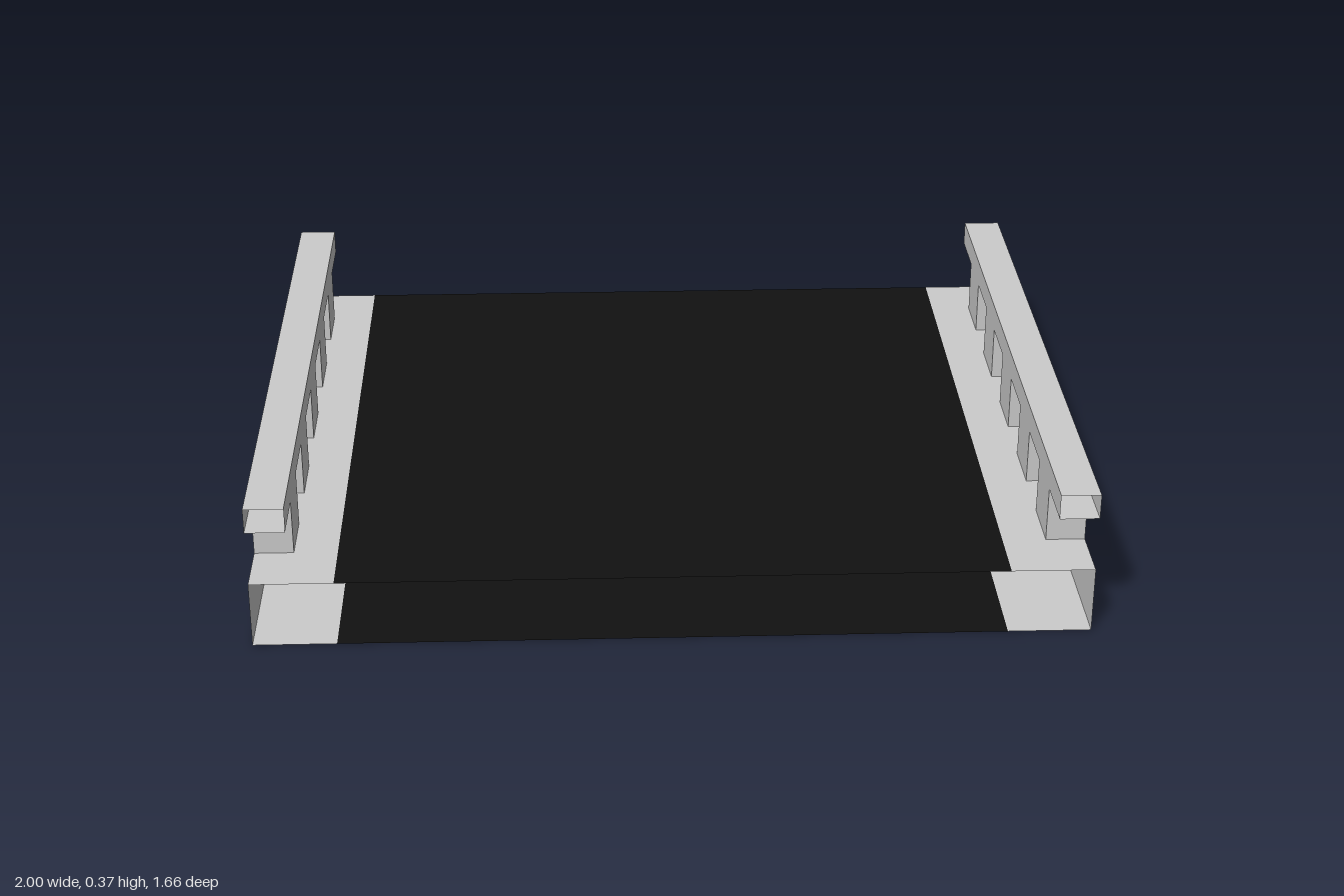
import * as THREE from 'three';

const grey = new THREE.MeshStandardMaterial({ color: 0xcccccc, side: THREE.DoubleSide });
const black = new THREE.MeshStandardMaterial({ color: 0x111111, side: THREE.DoubleSide });

const LENGTH = 1.664;    // along z
const DECK_Y = 0.165;    // top of the hollow deck
const RAIL_Y = 0.303;    // underside of the handrail
const TOP_Y = 0.365;

// Box side order: +x, -x, +y, -y, +z, -z
const SIDE = { px: 0, nx: 1, py: 2, ny: 3, pz: 4, nz: 5 };

// Thin-walled box between two corners that keeps only the listed sides
function shell(name, material, [x0, y0, z0], [x1, y1, z1], sides) {
  const geometry = new THREE.BoxGeometry(x1 - x0, y1 - y0, z1 - z0);
  const index = Array.from(geometry.index.array);
  geometry.setIndex(sides.flatMap((s) => index.slice(SIDE[s] * 6, SIDE[s] * 6 + 6)));
  geometry.clearGroups();
  geometry.translate((x0 + x1) / 2, (y0 + y1) / 2, (z0 + z1) / 2);
  const mesh = new THREE.Mesh(geometry, material);
  mesh.name = name;
  return mesh;
}

// Deck edge, posts and handrail of the +x side
function createParapet() {
  const group = new THREE.Group();
  const h = LENGTH / 2;

  // Hollow deck edge, open at both ends and towards the roadway
  group.add(shell('deckEdge', grey, [0.8, 0, -h], [1, DECK_Y, h], ['px', 'py', 'ny']));

  // Hollow handrail, open at both ends
  group.add(shell('handrail', grey, [0.905, RAIL_Y, -h], [1, TOP_Y, h], ['px', 'nx', 'py', 'ny']));

  // Five evenly spaced posts
  for (let i = -2; i <= 2; i++) {
    const z = i * 0.303;
    group.add(shell('post', grey, [0.905, DECK_Y, z - 0.075], [1, RAIL_Y, z + 0.075], ['px', 'nx', 'pz', 'nz']));
  }
  return group;
}

export function createModel() {
  const model = new THREE.Group();
  model.name = 'bridgeSection';

  // Dark roadway surface and its underside
  model.add(shell('roadway', black, [-0.8, 0, -LENGTH / 2], [0.8, DECK_Y, LENGTH / 2], ['py', 'ny']));

  // The two parapets, one turned half round
  const left = createParapet();
  left.name = 'leftParapet';
  const right = createParapet();
  right.name = 'rightParapet';
  right.rotation.y = Math.PI;
  model.add(left, right);
  return model;
}
